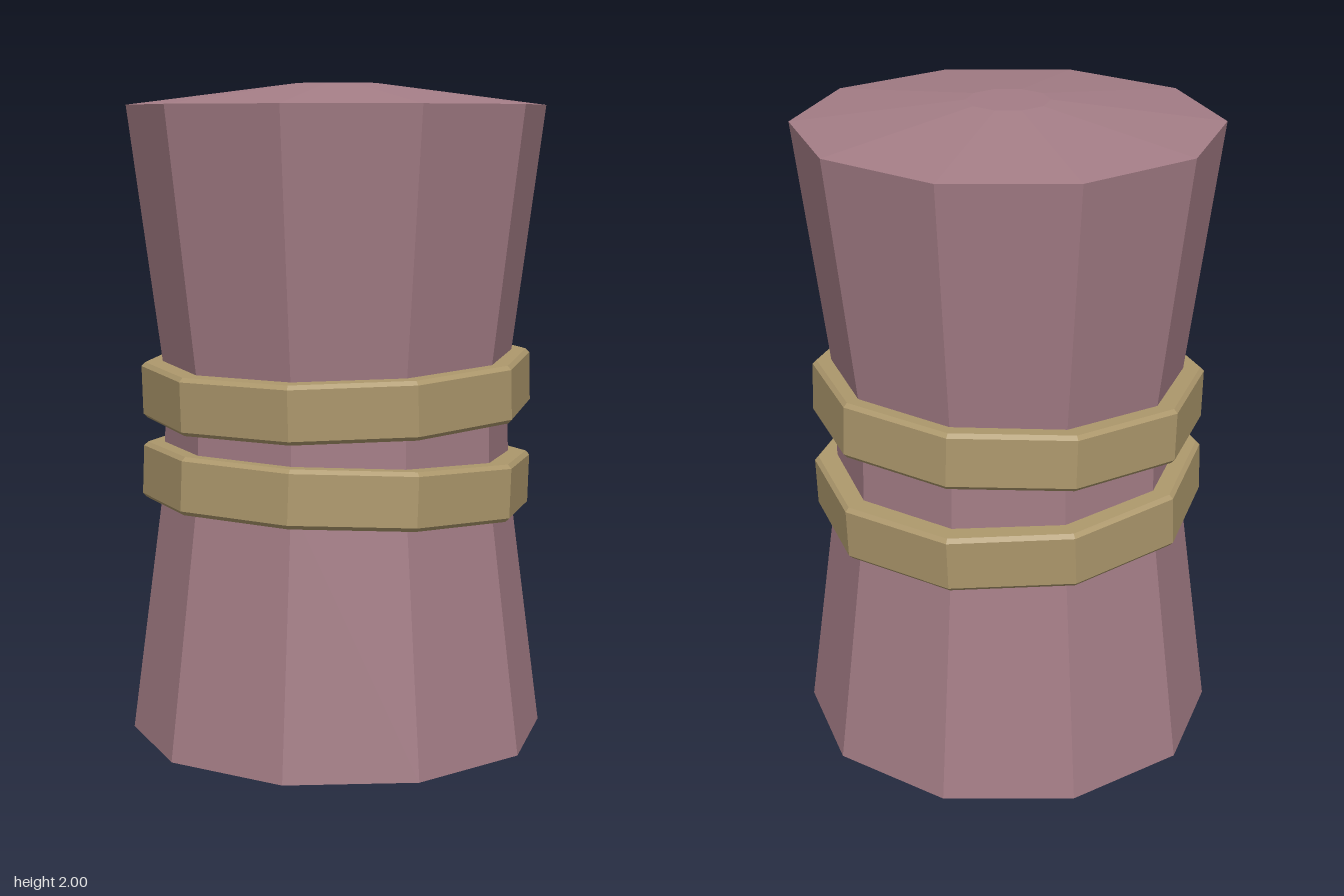
import * as THREE from 'three';

const SIDES = 10;

// Faceted ten-sided solid turned from [radius, height] pairs, with a corner on the x axis
function faceted(profile) {
  const points = profile.map(([r, y]) => new THREE.Vector2(r, y));
  const geometry = new THREE.LatheGeometry(points, SIDES, Math.PI / 2).toNonIndexed();
  geometry.computeVertexNormals();
  return geometry;
}

export function createModel() {
  const group = new THREE.Group();
  const cloth = new THREE.MeshStandardMaterial({ color: 0xa47d86 });
  cloth.name = 'dusty rose';
  const strap = new THREE.MeshStandardMaterial({ color: 0xad986c });
  strap.name = 'tan';

  // Waisted body with a shallow raised top
  const body = new THREE.Mesh(faceted([
    [0, 0], [0.64, 0], [0.535, 0.8], [0.53, 1.1], [0.64, 1.935], [0.125, 2], [0, 2],
  ]), cloth);
  body.name = 'body';
  group.add(body);

  // Two slightly tilted bands with bevelled edges around the waist
  const h = 0.086, bevel = 0.012, outer = 0.601, inner = 0.515;
  const bandGeometry = faceted([
    [inner, -h], [outer - bevel, -h], [outer, -h + bevel],
    [outer, h - bevel], [outer - bevel, h], [inner, h], [inner, -h],
  ]);
  const bands = [
    { name: 'upperBand', y: 1.085, tiltX: 0.027, tiltZ: 0.027 },
    { name: 'lowerBand', y: 0.8, tiltX: -0.033, tiltZ: -0.036 },
  ];
  for (const { name, y, tiltX, tiltZ } of bands) {
    const band = new THREE.Mesh(bandGeometry, strap);
    band.name = name;
    band.position.y = y;
    band.rotation.set(tiltX, 0.015, tiltZ);
    group.add(band);
  }
  return group;
}
